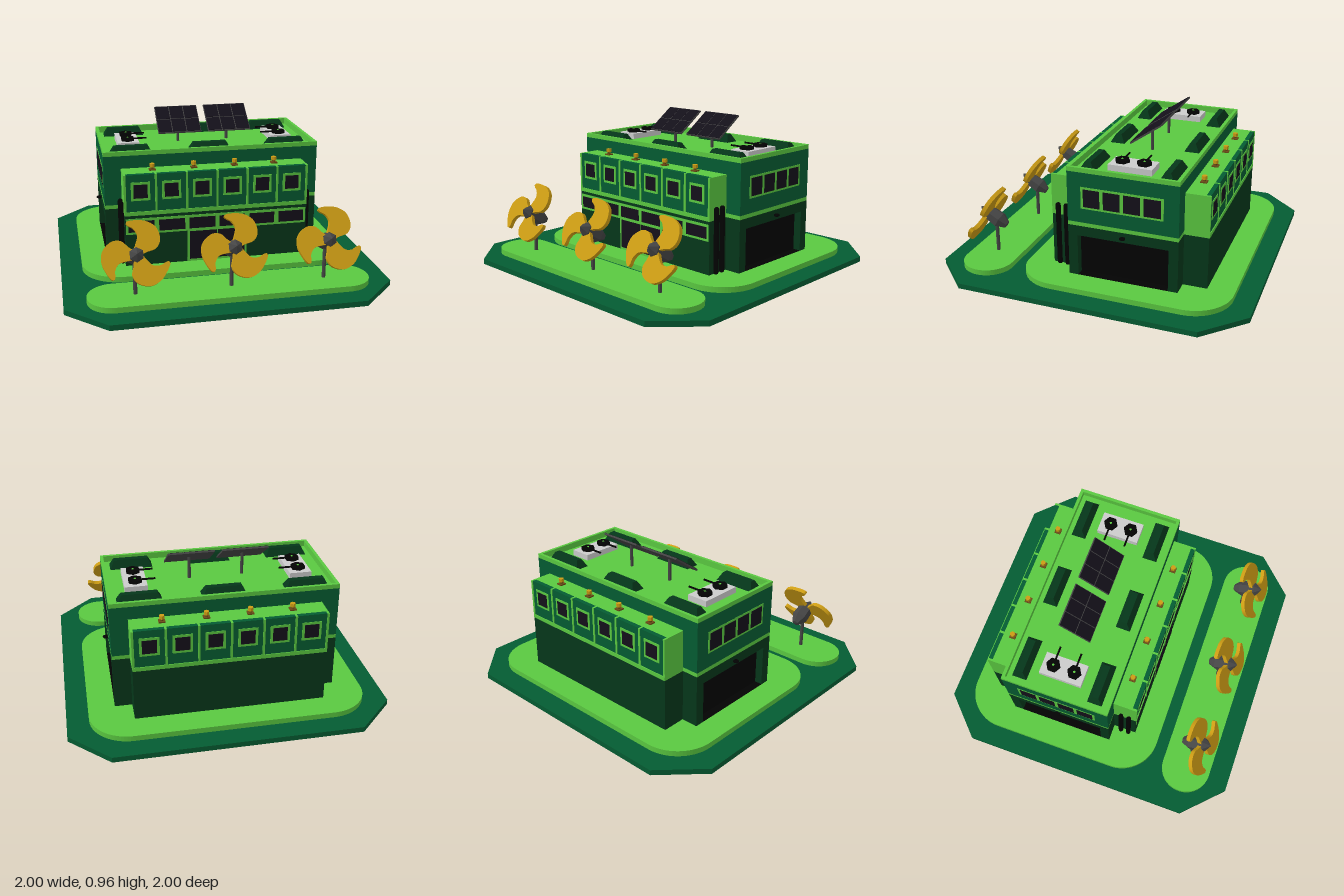
import * as THREE from 'three';

const COLORS = {
  mid: 0x045c32, light: 0x5ac840, dark: 0x05371a, glass: 0x14101a, black: 0x030303,
  gold: 0xcc9c14, brown: 0x6b4a16, steel: 0x454545, grey: 0xbcbcbc,
};
const mats = {};
for (const k in COLORS) mats[k] = new THREE.MeshStandardMaterial({ color: COLORS[k], flatShading: true });

function add(parent, name, geo, mat, x = 0, y = 0, z = 0) {
  const m = new THREE.Mesh(geo, mats[mat]);
  m.name = name;
  m.position.set(x, y, z);
  parent.add(m);
  return m;
}

// Box given by its min and max on each axis
function block(parent, name, mat, x0, x1, y0, y1, z0, z1) {
  return add(parent, name, new THREE.BoxGeometry(x1 - x0, y1 - y0, z1 - z0), mat,
    (x0 + x1) / 2, (y0 + y1) / 2, (z0 + z1) / 2);
}

function cyl(parent, name, mat, r, y0, y1, x, z, sides = 8) {
  return add(parent, name, new THREE.CylinderGeometry(r, r, y1 - y0, sides), mat, x, (y0 + y1) / 2, z);
}

// Flat outline (x, z) raised from y0 to y1
function slab(parent, name, mat, shape, y0, y1, z = 0) {
  const geo = new THREE.ExtrudeGeometry(shape, { depth: y1 - y0, bevelEnabled: false, curveSegments: 10 });
  return add(parent, name, geo.rotateX(-Math.PI / 2), mat, 0, y0, z);
}

function roundedRect(w, h, r) {
  const s = new THREE.Shape();
  s.absarc(w - r, h - r, r, 0, Math.PI / 2);
  s.absarc(r - w, h - r, r, Math.PI / 2, Math.PI);
  s.absarc(r - w, r - h, r, Math.PI, Math.PI * 1.5);
  s.absarc(w - r, r - h, r, Math.PI * 1.5, Math.PI * 2);
  return s;
}

const vecs = pts => pts.map(p => new THREE.Vector2(...p));
const rect = (w, h) => vecs([[-w, -h], [w, -h], [w, h], [-w, h]]);

// Rectangular ring around the roof, inset from the outer wall face
function roofRing(outer, inner) {
  const s = new THREE.Shape(rect(0.7 - outer, 0.3475 - outer));
  s.holes.push(new THREE.Path(rect(0.7 - inner, 0.3475 - inner)));
  return s;
}

// Truncated wedge for roof lights
function skylight(parent, x, z) {
  const geo = new THREE.BoxGeometry(0.27, 0.052, 0.095);
  const p = geo.attributes.position;
  for (let i = 0; i < p.count; i++) {
    if (p.getY(i) > 0) { p.setX(i, p.getX(i) * 0.8); p.setZ(i, p.getZ(i) * 0.38); }
  }
  geo.computeVertexNormals();
  add(parent, 'skylight', geo, 'dark', x, 0.766, z);
}

// Broad, swept blade with a rounded tip
function bladeShape() {
  const s = new THREE.Shape();
  s.moveTo(0, -0.015);
  s.splineThru(vecs([[0.06, 0.012], [0.116, 0.03], [0.143, 0.08], [0.126, 0.15], [0.072, 0.19], [0.01, 0.2],
    [-0.036, 0.197], [-0.048, 0.183]]));
  s.splineThru(vecs([[-0.036, 0.17], [-0.006, 0.15], [0.013, 0.11], [-0.002, 0.06], [-0.022, 0.02]]));
  s.closePath();
  return s;
}

function turbine(x) {
  const g = new THREE.Group();
  g.name = 'turbine';
  cyl(g, 'turbinePost', 'steel', 0.012, 0.07, 0.29, x, 0.705);
  const rotor = new THREE.Group();
  rotor.name = 'rotor';
  rotor.position.set(x + 0.008, 0.334, 0.75);
  rotor.rotation.x = -Math.PI / 6;
  const hub = [[0, -0.145], [0.025, -0.14], [0.054, -0.085], [0.05, -0.02], [0.044, 0.02], [0, 0.065]];
  add(rotor, 'hub', new THREE.LatheGeometry(vecs(hub), 6).rotateX(Math.PI / 2), 'steel');
  const bladeGeo = new THREE.ExtrudeGeometry(bladeShape(), { depth: 0.026, bevelEnabled: false, curveSegments: 24 });
  for (let i = 0; i < 3; i++) {
    add(rotor, 'blade', bladeGeo, 'gold', 0, 0, -0.013).rotation.z = (i * Math.PI * 2) / 3;
  }
  g.add(rotor);
  return g;
}

// Projecting bay with six framed windows, modelled on the +z side
function bay(front) {
  const g = new THREE.Group();
  g.name = front ? 'frontBay' : 'backBay';
  block(g, 'bayBase', 'dark', -0.592, 0.592, 0.07, 0.405, 0.1, 0.297);
  block(g, 'bayBody', 'light', -0.592, 0.592, 0.405, 0.67, 0.1, 0.268);
  block(g, 'bayBand', 'light', -0.592, 0.592, 0.405, 0.43, 0.268, 0.3);
  for (let i = 0; i <= 6; i++) {
    const x = -0.585 + i * 0.195;
    block(g, 'bayDivider', 'light', x - 0.007, x + 0.007, 0.43, 0.67, 0.268, 0.299);
    if (i === 6) break;
    const c = x + 0.0975;
    block(g, 'bayPanel', 'mid', x + 0.007, x + 0.188, 0.43, 0.67, 0.268, 0.295);
    block(g, 'windowFrame', 'light', c - 0.06, c + 0.06, 0.502, 0.622, 0.285, 0.298);
    block(g, 'windowGlass', 'glass', c - 0.044, c + 0.044, 0.518, 0.606, 0.285, 0.3);
    if (front) {
      block(g, 'lowerWindowFrame', 'light', c - 0.0975, c + 0.0975, 0.28, 0.385, 0.28, 0.299);
      block(g, 'lowerWindowGlass', 'glass', c - 0.083, c + 0.083, 0.295, 0.368, 0.28, 0.301);
    }
  }
  if (front) {
    block(g, 'doorFrame', 'light', -0.195, 0.195, 0.07, 0.28, 0.28, 0.299);
    for (const s of [-1, 1]) block(g, 'doorLeaf', 'glass', s * 0.091 - 0.089, s * 0.091 + 0.089, 0.085, 0.275, 0.28, 0.301);
  }
  // Warning lamps along the bay roof
  for (const x of [-0.4, -0.135, 0.13, 0.39]) {
    block(g, 'lampBase', 'brown', x - 0.02, x + 0.02, 0.67, 0.678, 0.185, 0.225);
    cyl(g, 'lampStem', 'brown', 0.01, 0.678, 0.69, x, 0.205, 6);
    cyl(g, 'lamp', 'gold', 0.017, 0.69, 0.712, x, 0.205, 6);
  }
  return g;
}

// Side wall details, modelled on the +x side
function sideWall(s) {
  const g = new THREE.Group();
  g.name = s > 0 ? 'leftSide' : 'rightSide';
  const b = (name, mat, x0, x1, ...r) => block(g, name, mat, Math.min(s * x0, s * x1), Math.max(s * x0, s * x1), ...r);
  b('frontPier', 'dark', 0.62, 0.7, 0.07, 0.405, 0.085, 0.145);
  b('backPier', 'dark', 0.62, 0.7, 0.07, 0.405, -0.55, -0.49);
  b('lintel', 'dark', 0.62, 0.7, 0.34, 0.405, -0.49, 0.085);
  b('garageDoor', 'black', 0.61, 0.65, 0.07, 0.34, -0.49, 0.085);
  b('garageFloor', 'black', 0.62, 0.7, 0.065, 0.073, -0.49, 0.085);
  b('sideWindowFrame', 'light', 0.69, 0.7015, 0.522, 0.662, -0.457, 0.058);
  for (let i = 0; i < 4; i++) {
    const z = -0.441 + i * 0.1265;
    b('sideWindowGlass', 'glass', 0.69, 0.703, 0.535, 0.648, z, z + 0.104);
  }
  add(g, 'doorLight', new THREE.SphereGeometry(0.02, 8, 6), 'black', s * 0.712, 0.372, -0.207).scale.y = 0.5;
  for (const z of [0.198, 0.251]) {
    add(g, 'wallPipe', new THREE.CapsuleGeometry(0.016, 0.39, 4, 10), 'black', s * 0.607, 0.28, z);
  }
  return g;
}

// Roof cooling unit with two fans
function coolingUnit(s) {
  const g = new THREE.Group();
  g.name = 'coolingUnit';
  const x = s * 0.515;
  block(g, 'unitCase', 'grey', x - 0.07, x + 0.07, 0.735, 0.778, -0.345, -0.07);
  for (const z of [-0.275, -0.137]) {
    cyl(g, 'fan', 'black', 0.046, 0.776, 0.798, x, z, 6);
    cyl(g, 'fanHub', 'light', 0.008, 0.79, 0.8, x, z, 6);
    const pipe = cyl(g, 'unitPipe', 'black', 0.006, 0.7265, 0.8515, x - s * 0.0625, z, 6);
    pipe.rotation.z = Math.PI / 2;
  }
  return g;
}

function solarPanel(x) {
  const g = new THREE.Group();
  g.name = 'solarPanel';
  cyl(g, 'panelPost', 'steel', 0.01, 0.735, 0.885, x, -0.207);
  const tilt = new THREE.Group();
  tilt.name = 'panelBoard';
  tilt.position.set(x, 0.888, -0.207);
  tilt.rotation.x = 0.605;
  block(tilt, 'panelBack', 'steel', -0.144, 0.144, -0.007, 0.004, -0.118, 0.118);
  for (let i = 0; i < 3; i++) {
    for (let j = 0; j < 2; j++) {
      add(tilt, 'solarCell', new THREE.BoxGeometry(0.09, 0.004, 0.111), 'glass', (i - 1) * 0.0955, 0.004, (j - 0.5) * 0.117);
    }
  }
  g.add(tilt);
  return g;
}

export function createModel() {
  const model = new THREE.Group();
  model.name = 'powerStation';

  // Ground plate, with pads running through it
  const plate = new THREE.Shape(vecs([[1, -0.757], [1, 0.757], [0.757, 1], [-0.757, 1], [-1, 0.757], [-1, -0.757],
    [-0.757, -1], [0.757, -1]]));
  slab(model, 'groundPlate', 'mid', plate, 0.001, 0.035);
  slab(model, 'buildingPad', 'light', roundedRect(0.865, 0.665, 0.25), 0, 0.07, -0.205);
  slab(model, 'turbinePad', 'light', roundedRect(0.865, 0.162, 0.16), 0, 0.07, 0.702);

  // Main block
  block(model, 'lowerCore', 'dark', -0.62, 0.62, 0.07, 0.405, -0.55, 0.145);
  block(model, 'floorBand', 'light', -0.7, 0.7, 0.405, 0.43, -0.55, 0.145);
  block(model, 'upperCore', 'mid', -0.7, 0.7, 0.43, 0.735, -0.55, 0.145);
  block(model, 'roof', 'light', -0.69, 0.69, 0.73, 0.74, -0.54, 0.135);
  slab(model, 'parapetOuter', 'mid', roofRing(0, 0.01), 0.735, 0.752, -0.2025);
  slab(model, 'parapetInner', 'light', roofRing(0.01, 0.02), 0.735, 0.752, -0.2025);
  slab(model, 'parapetRim', 'light', roofRing(0, 0.02), 0.752, 0.78, -0.2025);

  // Bays: the back one is the front one turned about the block's centre
  model.add(bay(true));
  const back = bay(false);
  back.rotation.y = Math.PI;
  back.position.z = -0.405;
  model.add(back);

  for (const s of [-1, 1]) {
    model.add(sideWall(s), coolingUnit(s), solarPanel(s * 0.168));
  }
  for (const x of [-0.515, 0, 0.51]) for (const z of [-0.453, 0.042]) skylight(model, x, z);
  for (const x of [-0.58, 0, 0.58]) model.add(turbine(x));
  return model;
}
